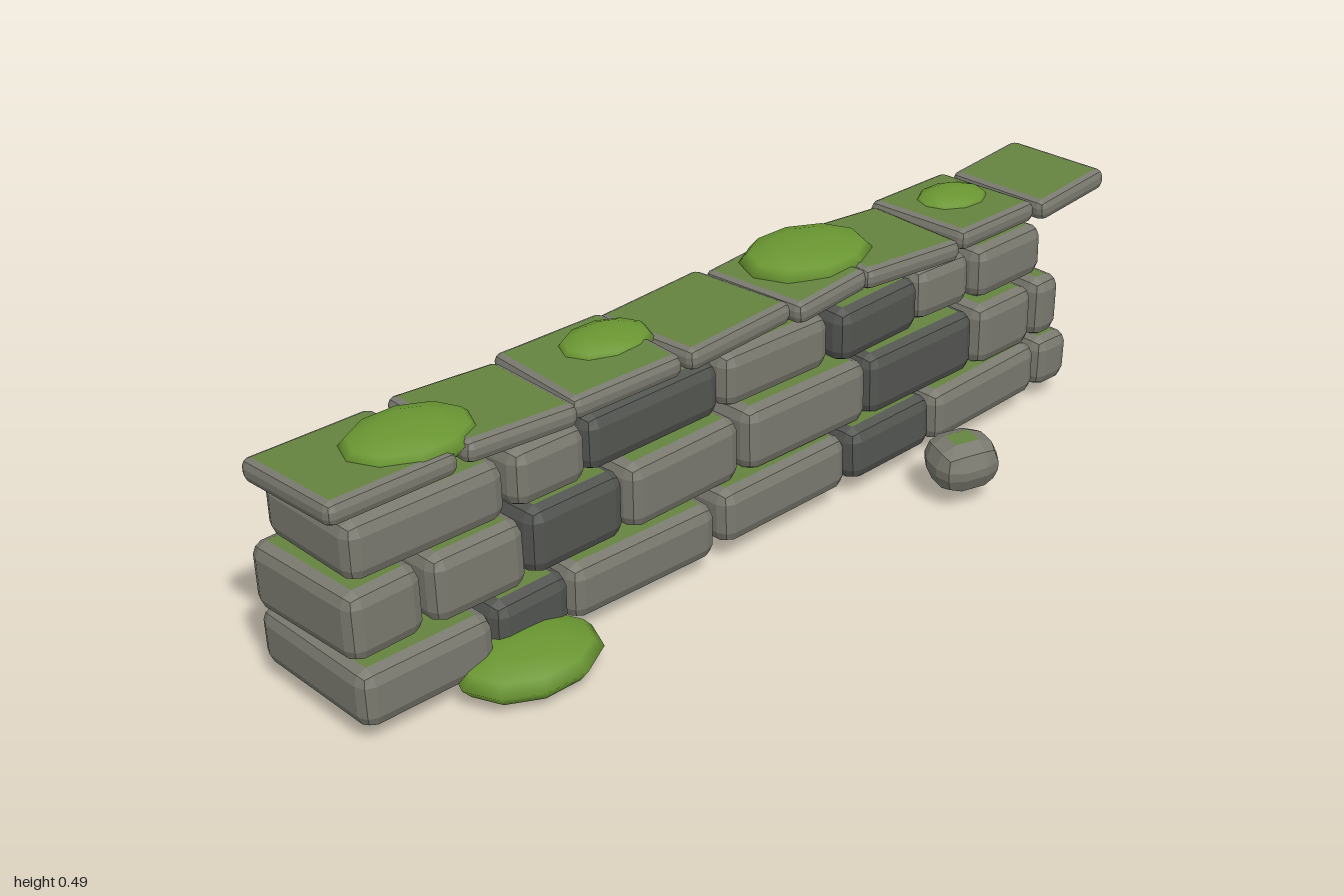
import * as THREE from 'three';

const material = (name, color, flatShading) => {
  const m = new THREE.MeshStandardMaterial({ color, flatShading });
  m.name = name;
  return m;
};

// Box with a two-step worn edge; only the flat centre of its top is mossy.
function wornBlock(w, h, d, bevel) {
  const indexed = new THREE.BoxGeometry(1, 1, 1, 3, 3, 3);
  const p = indexed.attributes.position;
  const half = [w / 2, h / 2, d / 2];
  for (let i = 0; i < p.count; i++) {
    const c = [p.getX(i), p.getY(i), p.getZ(i)];
    const outer = c.filter(v => Math.abs(v) > 0.4).length;
    const pull = [0, 0, 0.3, 0.45][outer] * bevel;
    const q = c.map((v, k) => Math.sign(v) * (half[k] - (Math.abs(v) > 0.4 ? pull : bevel)));
    p.setXYZ(i, ...q);
  }
  const g = indexed.toNonIndexed();
  g.clearGroups();
  g.addGroup(0, 132, 0);
  g.addGroup(132, 6, 1);
  g.addGroup(138, 186, 0);
  g.computeVertexNormals();
  return g;
}

export function createModel() {
  const wall = new THREE.Group();
  wall.name = 'stoneWall';
  const stone = material('stone grey', 0x78786e, true);
  const darkStone = material('dark stone', 0x525450, true);
  const mossFace = material('moss film', 0x64833f, true);
  const moss = material('moss green', 0x6a9632, false);

  let seed = 7;
  const jitter = a => {
    seed = (seed * 16807) % 2147483647;
    return (seed / 2147483647 - 0.5) * 2 * a;
  };

  const addBlock = (name, size, pos, rot, bevel, dark) => {
    const mesh = new THREE.Mesh(wornBlock(...size, bevel), [dark ? darkStone : stone, mossFace]);
    mesh.name = name;
    mesh.position.set(...pos);
    mesh.rotation.set(...rot);
    wall.add(mesh);
  };

  // Courses of stones: [left, right, dark]
  const courses = [
    { y: 0.092, h: 0.112, z: -0.1, d: 0.315, stones: [
      [-0.99, -0.715], [-0.71, -0.54, 1], [-0.535, -0.19], [-0.175, 0.16],
      [0.17, 0.405, 1], [0.41, 0.74], [0.755, 0.855]] },
    { y: 0.214, h: 0.132, z: -0.107, d: 0.285, stones: [
      [-0.99, -0.835], [-0.82, -0.62], [-0.61, -0.39, 1], [-0.38, -0.1],
      [-0.08, 0.245], [0.25, 0.56, 1], [0.565, 0.74], [0.755, 0.835]] },
    { y: 0.342, h: 0.112, z: -0.108, d: 0.252, stones: [
      [-0.965, -0.64], [-0.63, -0.465], [-0.46, -0.13, 1], [-0.12, 0.16],
      [0.17, 0.4, 1], [0.41, 0.57], [0.58, 0.79]] }
  ];
  courses.forEach(({ y, h, z, d, stones }, row) => stones.forEach(([a, b, dark], i) => {
    addBlock(`course${row + 1}Stone${i + 1}`, [b - a, h, d],
      [(a + b) / 2, y + jitter(0.003), z + jitter(0.01)],
      [jitter(0.025), jitter(0.03), jitter(0.02)], 0.026, dark);
  }));

  // Capstones: [left, right, yaw, tilt]
  const caps = [
    [-1, -0.735, 0.01, -0.01], [-0.71, -0.475, -0.06, -0.03], [-0.47, -0.225, -0.07, 0.04],
    [-0.22, 0.055, 0.06, 0.02], [0.06, 0.265, 0.07, 0.04], [0.265, 0.525, -0.06, -0.04],
    [0.53, 0.77, 0.04, -0.02], [0.785, 0.998, 0.01, 0.09]
  ];
  caps.forEach(([a, b, yaw, tilt], i) => {
    addBlock(`capstone${i + 1}`, [b - a, 0.045, 0.25], [(a + b) / 2, 0.428, -0.107 + jitter(0.007)],
      [-0.02 + jitter(0.02), yaw, tilt], 0.016);
  });

  // Loose stone on the ground in front
  addBlock('looseStone', [0.135, 0.102, 0.125], [0.342, 0.083, 0.195], [0.05, -0.35, 0.06], 0.042);

  // Moss clumps: [x, y, z, rx, ry, rz]
  const clump = new THREE.SphereGeometry(1, 10, 6);
  [
    [-0.76, 0.447, -0.085, 0.13, 0.034, 0.1],
    [-0.287, 0.443, -0.128, 0.1, 0.031, 0.075],
    [0.24, 0.45, -0.135, 0.148, 0.037, 0.115],
    [0.665, 0.442, -0.13, 0.087, 0.029, 0.07],
    [-0.665, 0.042, 0.08, 0.145, 0.042, 0.112]
  ].forEach(([x, y, z, rx, ry, rz], i) => {
    const mesh = new THREE.Mesh(clump, moss);
    mesh.name = i < 4 ? `topMoss${i + 1}` : 'groundMoss';
    mesh.position.set(x, y, z);
    mesh.scale.set(rx, ry, rz);
    wall.add(mesh);
  });

  return wall;
}
